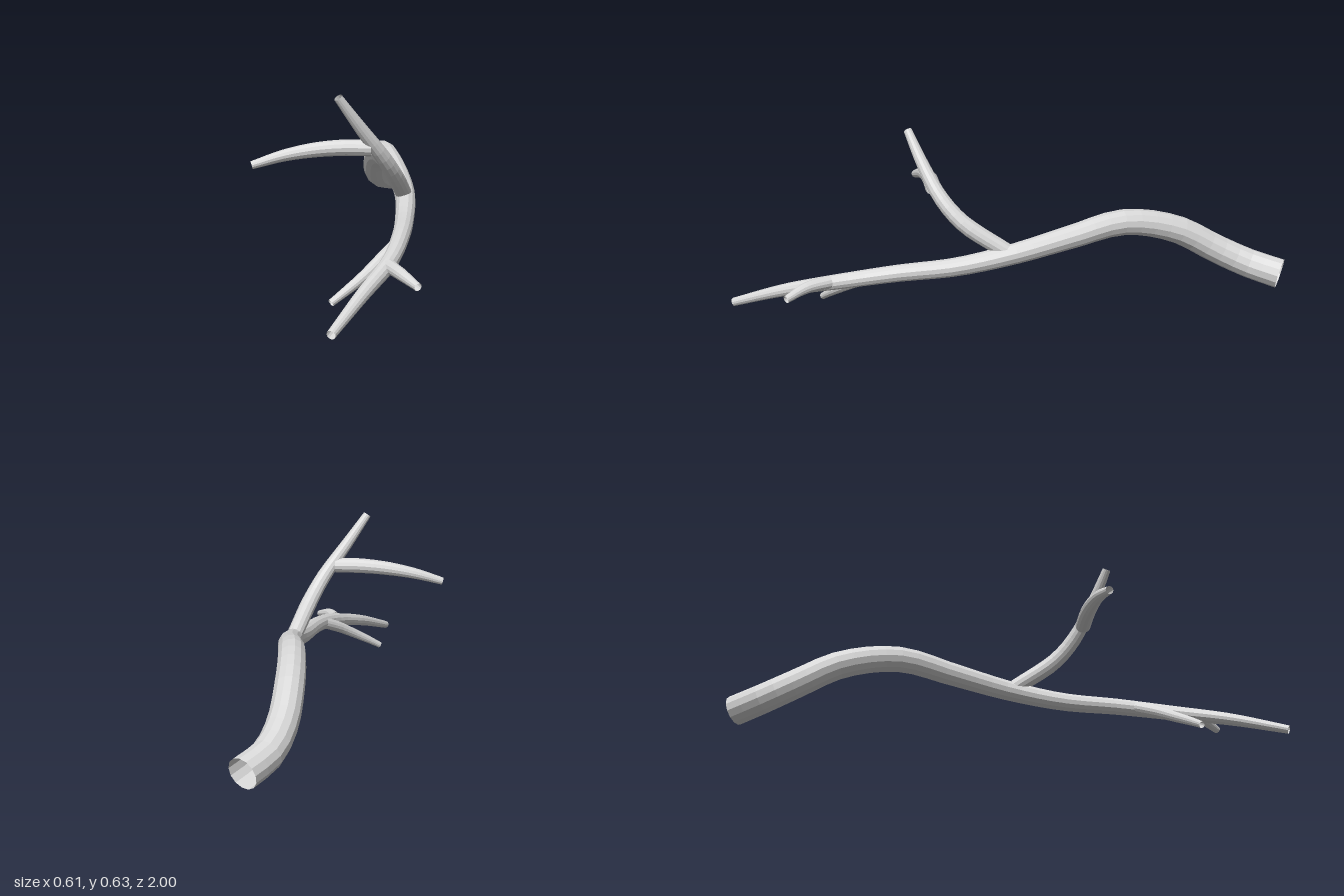
import * as THREE from 'three';

const bark = new THREE.MeshStandardMaterial({ color: 0xd8d8d8, flatShading: true, side: THREE.DoubleSide });
bark.name = 'pale grey bark';

// Open tapered tube along a smooth path; radii are spread evenly along its length
function limb(name, path, radii, segments, sides = 13) {
  const curve = new THREE.CatmullRomCurve3(path.map((p) => new THREE.Vector3(...p)));
  const geometry = new THREE.TubeGeometry(curve, segments, 1, sides, false);
  const pos = geometry.attributes.position;
  const v = new THREE.Vector3();
  for (let i = 0; i <= segments; i++) {
    const u = i / segments;
    const centre = curve.getPointAt(u);
    const t = u * (radii.length - 1);
    const k = Math.min(Math.floor(t), radii.length - 2);
    const radius = THREE.MathUtils.lerp(radii[k], radii[k + 1], t - k);
    for (let j = 0; j <= sides; j++) {
      const n = i * (sides + 1) + j;
      v.fromBufferAttribute(pos, n).sub(centre).multiplyScalar(radius).add(centre);
      pos.setXYZ(n, v.x, v.y, v.z);
    }
  }
  geometry.computeVertexNormals();
  const mesh = new THREE.Mesh(geometry, bark);
  mesh.name = name;
  return mesh;
}

export function createModel() {
  const group = new THREE.Group();
  group.name = 'branch';

  // Long winding main stem, thick at the back and thin at the front
  group.add(limb('mainStem', [
    [0.064, 0.09, -0.978], [0.018, 0.118, -0.87], [0.006, 0.17, -0.755], [0.025, 0.254, -0.6],
    [0.075, 0.298, -0.4], [0.14, 0.265, -0.2], [0.188, 0.223, 0],
    [0.203, 0.185, 0.2], [0.206, 0.167, 0.4], [0.188, 0.135, 0.6],
    [0.125, 0.085, 0.8], [0.055, 0.018, 0.992],
  ], [0.054, 0.052, 0.05, 0.047, 0.042, 0.037, 0.033, 0.03, 0.027, 0.022, 0.015], 36));

  // Tall shoot and the side shoot growing from it
  group.add(limb('upperShoot', [
    [0.186, 0.235, 0.025], [0.165, 0.33, 0.17], [0.13, 0.41, 0.245],
    [0.06, 0.52, 0.31], [-0.006, 0.625, 0.36],
  ], [0.029, 0.03, 0.027, 0.022, 0.015], 16));
  group.add(limb('upperSideShoot', [
    [0.095, 0.443, 0.274], [0, 0.444, 0.283], [-0.1, 0.436, 0.297],
    [-0.2, 0.418, 0.316], [-0.302, 0.388, 0.342],
  ], [0.028, 0.028, 0.025, 0.02, 0.014], 14));

  // Two small shoots near the front tip
  group.add(limb('lowerRightShoot', [
    [0.195, 0.158, 0.468], [0.15, 0.122, 0.545], [0.1, 0.082, 0.605],
    [0.05, 0.046, 0.65], [0.012, 0.019, 0.678],
  ], [0.022, 0.022, 0.019, 0.016, 0.012], 12));
  group.add(limb('lowerLeftShoot', [
    [0.19, 0.134, 0.637], [0.235, 0.13, 0.712], [0.293, 0.109, 0.778],
  ], [0.023, 0.02, 0.013], 10));

  return group;
}
